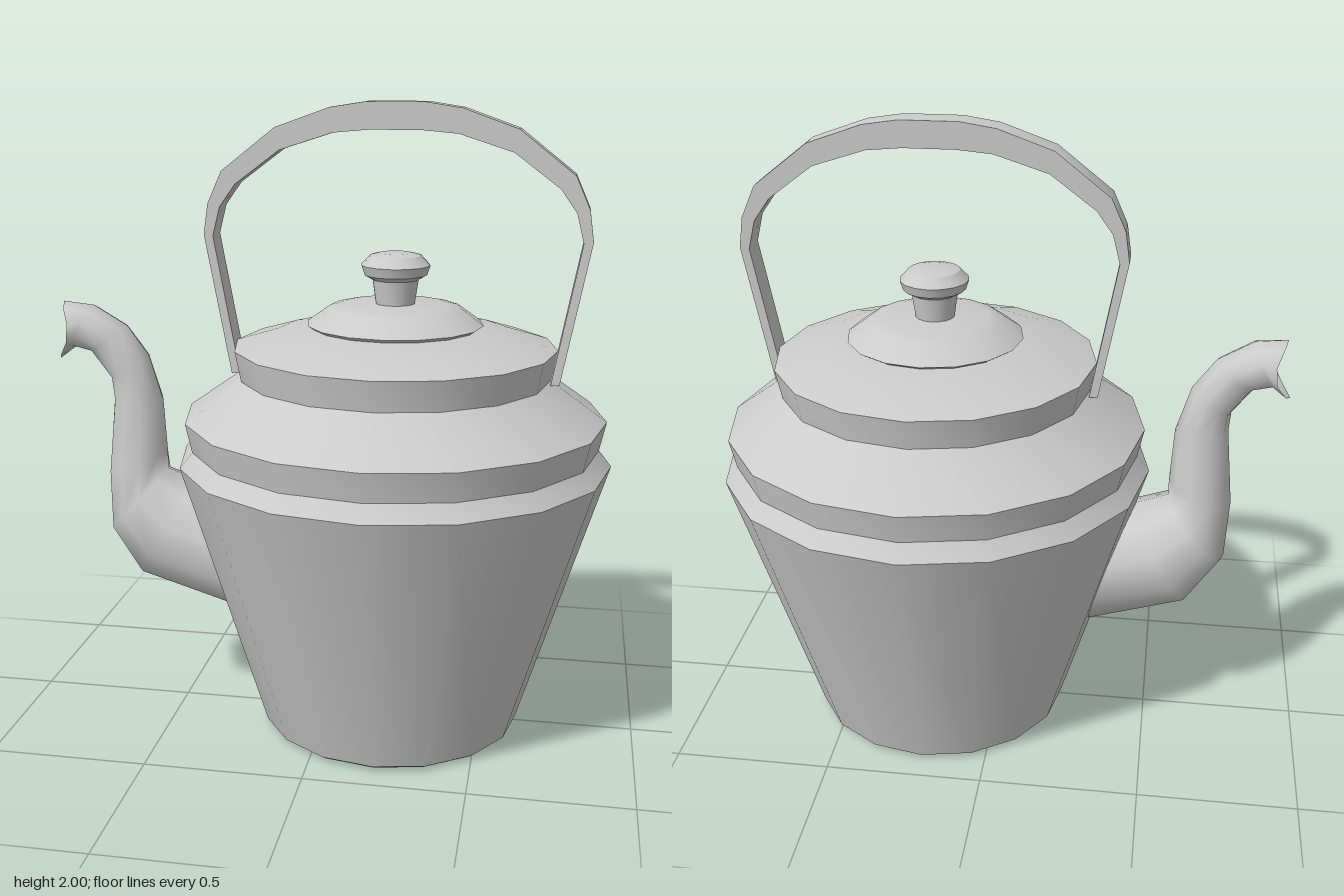
import * as THREE from 'three';
import { toCreasedNormals } from 'three/addons/utils/BufferGeometryUtils.js';

const CENTRE_X = 0.205; // axis of the pot; the spout reaches out to -x

const material = new THREE.MeshStandardMaterial({ color: 0xcccccc });
const openMaterial = new THREE.MeshStandardMaterial({ color: 0xcccccc, side: THREE.DoubleSide });

function addMesh(parent, name, geometry, mat = material) {
  const mesh = new THREE.Mesh(geometry, mat);
  mesh.name = name;
  parent.add(mesh);
  return mesh;
}

// Turned part: profile of [radius, height], bottom to top
function turned(profile) {
  const points = profile.map(([r, y]) => new THREE.Vector2(r, y));
  return toCreasedNormals(new THREE.LatheGeometry(points, 16), 0.55);
}

// Bail handle: flat strip, half outline mirrored about the pot axis
function handleGeometry() {
  const outer = [[0.515, 1.155], [0.597, 1.595], [0.583, 1.69], [0.538, 1.79],
    [0.369, 1.923], [0.2, 1.983], [0.09, 2]];
  const inner = [[0.488, 1.155], [0.568, 1.59], [0.545, 1.68], [0.495, 1.75],
    [0.355, 1.855], [0.19, 1.908], [0.08, 1.918]];
  const arch = (half) => [...half, ...half.map(([x, y]) => [-x, y]).reverse()];
  const outline = [...arch(outer), ...arch(inner).reverse()];
  const shape = new THREE.Shape(outline.map(([x, y]) => new THREE.Vector2(x, y)));
  const geometry = new THREE.ExtrudeGeometry(shape, { depth: 0.09, bevelEnabled: false });
  geometry.translate(0, 0, -0.041);
  return toCreasedNormals(geometry, 0.5);
}

// Spout: loft of oval rings, each given by its lower and upper point and half width
function spoutGeometry() {
  const rings = [
    [-0.22, 0.33, -0.32, 0.74, 0.19],
    [-0.63, 0.452, -0.445, 0.775, 0.18],
    [-0.735, 0.60, -0.545, 0.812, 0.135],
    [-0.745, 0.80, -0.545, 0.87, 0.1],
    [-0.72, 1.05, -0.555, 1.045, 0.078],
    [-0.725, 1.114, -0.6, 1.193, 0.072],
    [-0.79, 1.2, -0.67, 1.288, 0.072],
    [-0.847, 1.212, -0.78, 1.352, 0.083],
    [-0.90, 1.172, -0.88, 1.362, 0.08],
  ];
  const sides = 10;
  const positions = [];
  const indices = [];
  rings.forEach(([lx, ly, ux, uy, w], i) => {
    for (let j = 0; j < sides; j++) {
      const a = (j / sides) * Math.PI * 2;
      const up = Math.cos(a);
      const t = (1 + up) / 2;
      // the sides of the mouth are cut back from its two lips
      const cut = i === rings.length - 1 ? 0.045 * (1 - up * up) : 0;
      positions.push(lx + (ux - lx) * t + cut, ly + (uy - ly) * t, Math.sin(a) * w);
      if (i > 0) {
        const k = (j + 1) % sides;
        const p = (i - 1) * sides;
        const q = i * sides;
        indices.push(p + j, q + j, p + k, p + k, q + j, q + k);
      }
    }
  });
  const geometry = new THREE.BufferGeometry();
  geometry.setAttribute('position', new THREE.Float32BufferAttribute(positions, 3));
  geometry.setIndex(indices);
  geometry.computeVertexNormals();
  return geometry;
}

export function createModel() {
  const kettle = new THREE.Group();
  kettle.name = 'kettle';

  const pot = new THREE.Group();
  pot.name = 'pot';
  pot.position.x = CENTRE_X;
  kettle.add(pot);

  // Tapered body with rim band, sloping shoulder and collar
  addMesh(pot, 'body', turned([
    [0, 0], [0.395, 0], [0.418, 0.015], [0.685, 0.893], [0.645, 0.943],
    [0.665, 1.035], [0.488, 1.16], [0.507, 1.255], [0.37, 1.297], [0.25, 1.315], [0, 1.315],
  ]));

  // Lid
  addMesh(pot, 'lid', turned([
    [0, 1.305], [0.25, 1.308], [0.277, 1.325], [0.205, 1.377], [0.17, 1.385], [0, 1.39],
  ]));

  // Lid knob with a flared neck
  addMesh(pot, 'lidKnob', turned([
    [0, 1.375], [0.06, 1.38], [0.072, 1.463], [0.098, 1.478], [0.108, 1.508],
    [0.08, 1.538], [0.05, 1.545], [0, 1.546],
  ]));

  addMesh(pot, 'handle', handleGeometry());
  addMesh(kettle, 'spout', spoutGeometry(), openMaterial);

  return kettle;
}
